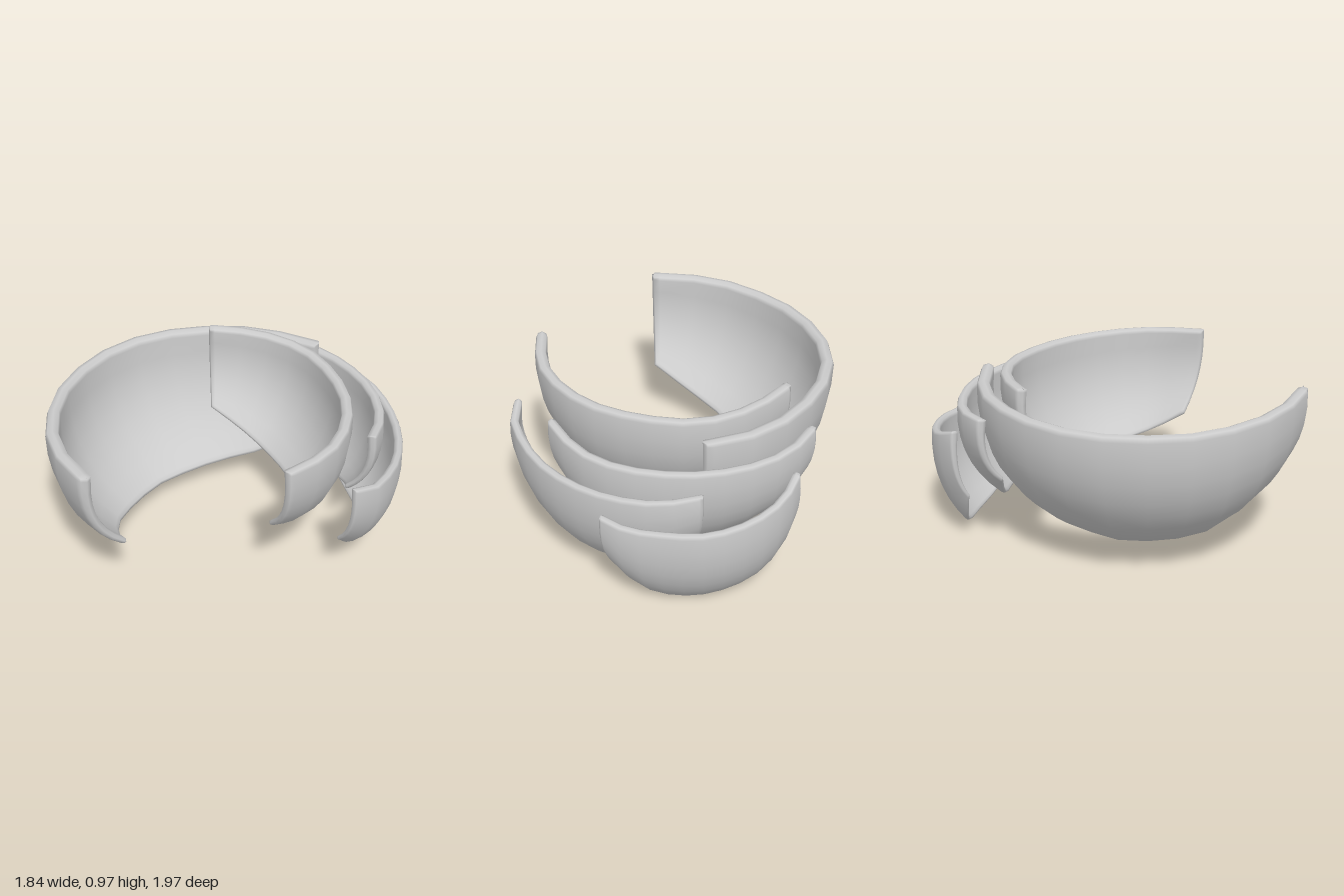
import * as THREE from 'three';
import { mergeVertices } from 'three/addons/utils/BufferGeometryUtils.js';

const curve = (pts) => new THREE.CatmullRomCurve3(pts.map((p) => new THREE.Vector3(...p)), false, 'centripetal');

// Parameter stops with two extra ones near each end, where the thickness is rounded off
function stops(segments, edge) {
  const list = [[0, 0], [edge * 0.3, 0.75], [edge, 1]];
  for (let i = 1; i < segments; i++) list.push([edge + (1 - 2 * edge) * i / segments, 1]);
  return [...list, [1 - edge, 1], [1 - edge * 0.3, 0.75], [1, 0]];
}

// Curved armour plate: a bowl-shaped strip between a top rim and a lower edge,
// both listed clockwise as seen from above
function plateGeometry(topPts, bottomPts, rim, segments) {
  const top = curve(topPts), bottom = curve(bottomPts);
  const point = (u, v) => {
    const a = top.getPointAt(u), b = bottom.getPointAt(u), t = top.getTangentAt(u);
    const c = new THREE.Vector3(a.x + t.z * 0.04, THREE.MathUtils.lerp(b.y, a.y, 0.36), a.z - t.x * 0.04);
    return new THREE.QuadraticBezierCurve3(a, c, b).getPoint(v);
  };
  const normal = (u, v) => {
    const e = 0.01, u0 = Math.max(0, u - e), u1 = Math.min(1, u + e);
    const v0 = Math.max(0, v - e), v1 = Math.min(1, v + e);
    const du = point(u1, v).sub(point(u0, v)), dv = point(u, v1).sub(point(u, v0));
    return du.cross(dv).normalize();
  };
  const us = stops(segments, 0.018), vs = stops(7, 0.035);
  const positions = [], index = [], cols = vs.length, side = us.length * cols;
  for (const s of [1, -1]) {
    for (const [u, ku] of us) for (const [v, kv] of vs) {
      // Thick at the rim, thinner toward the lower edge
      const half = rim * (1 - 0.55 * v) * Math.min(ku, kv);
      positions.push(...point(u, v).addScaledVector(normal(u, v), s * half).toArray());
    }
  }
  for (let i = 0; i < us.length - 1; i++) for (let j = 0; j < cols - 1; j++) {
    const a = i * cols + j, b = a + cols, c = a + 1, d = b + 1;
    index.push(a, b, c, b, d, c);
    index.push(a + side, c + side, b + side, b + side, c + side, d + side);
  }
  let geometry = new THREE.BufferGeometry();
  geometry.setAttribute('position', new THREE.Float32BufferAttribute(positions, 3));
  geometry.setIndex(index);
  geometry = mergeVertices(geometry, 1e-5);
  geometry.computeVertexNormals();
  return geometry;
}

export function createModel() {
  const group = new THREE.Group();
  const material = new THREE.MeshStandardMaterial({ color: 0xcccccc });
  const addPlate = (name, top, bottom, rim, segments) => {
    const mesh = new THREE.Mesh(plateGeometry(top, bottom, rim, segments), material);
    mesh.name = name;
    group.add(mesh);
  };

  // Large plate wrapping the right side from front to back
  addPlate('largeSidePlate',
    [[-0.37, 0.93, 0.96], [-0.62, 0.92, 0.79], [-0.77, 0.91, 0.6], [-0.86, 0.9, 0.37], [-0.89, 0.9, 0.18],
      [-0.83, 0.9, -0.16], [-0.65, 0.9, -0.43], [-0.3, 0.9, -0.645], [-0.01, 0.9, -0.695], [0.25, 0.91, -0.66]],
    [[-0.28, 0.41, 0.78], [-0.41, 0.28, 0.62], [-0.51, 0.19, 0.41], [-0.51, 0.16, 0.2], [-0.47, 0.15, 0],
      [-0.37, 0.16, -0.15], [-0.22, 0.18, -0.31], [0, 0.24, -0.43], [0.13, 0.32, -0.48], [0.2, 0.42, -0.52]],
    0.037, 12);

  // Inner plate, the highest, wrapping the back and left side
  addPlate('innerPlate',
    [[-0.36, 0.97, -0.5], [-0.25, 0.965, -0.54], [-0.1, 0.96, -0.57], [0.03, 0.955, -0.57], [0.2, 0.95, -0.53],
      [0.36, 0.95, -0.42], [0.5, 0.95, -0.27], [0.6, 0.95, -0.1], [0.65, 0.955, 0.1], [0.655, 0.96, 0.25],
      [0.62, 0.965, 0.4], [0.52, 0.975, 0.6]],
    [[-0.29, 0.52, -0.36], [-0.1, 0.42, -0.35], [0.04, 0.36, -0.31], [0.28, 0.33, -0.13], [0.36, 0.33, 0],
      [0.41, 0.36, 0.15], [0.42, 0.41, 0.3], [0.39, 0.51, 0.47]],
    0.032, 12);

  // Middle plate behind the inner one
  addPlate('middlePlate',
    [[-0.38, 0.82, -0.71], [-0.23, 0.81, -0.785], [-0.04, 0.8, -0.815], [0.2, 0.8, -0.78], [0.4, 0.8, -0.69],
      [0.6, 0.8, -0.52], [0.71, 0.8, -0.34], [0.76, 0.82, -0.15], [0.765, 0.84, -0.01]],
    [[-0.32, 0.46, -0.62], [-0.2, 0.34, -0.61], [-0.05, 0.26, -0.59], [0.15, 0.22, -0.55], [0.35, 0.21, -0.47],
      [0.5, 0.24, -0.36], [0.6, 0.32, -0.2], [0.63, 0.43, -0.06]],
    0.028, 11);

  // Outer plate on the left side
  addPlate('outerSidePlate',
    [[0.33, 0.71, -0.805], [0.45, 0.7, -0.765], [0.58, 0.69, -0.685], [0.74, 0.68, -0.5], [0.84, 0.68, -0.3],
      [0.89, 0.69, -0.1], [0.895, 0.71, 0.06], [0.87, 0.73, 0.23], [0.79, 0.765, 0.35]],
    [[0.28, 0.34, -0.65], [0.38, 0.2, -0.56], [0.52, 0.12, -0.43], [0.64, 0.11, -0.28], [0.71, 0.14, -0.08],
      [0.72, 0.2, 0.1], [0.7, 0.35, 0.27]],
    0.024, 11);

  // Lowest plate at the back
  addPlate('lowerBackPlate',
    [[-0.19, 0.69, -0.855], [-0.12, 0.66, -0.905], [0, 0.62, -0.95], [0.18, 0.59, -0.965], [0.38, 0.57, -0.92],
      [0.55, 0.56, -0.8], [0.69, 0.56, -0.67], [0.765, 0.575, -0.54]],
    [[-0.16, 0.3, -0.8], [-0.1, 0.17, -0.81], [0, 0.08, -0.81], [0.12, 0.03, -0.79], [0.3, 0.005, -0.74],
      [0.46, 0.02, -0.66], [0.56, 0.07, -0.59], [0.62, 0.18, -0.5]],
    0.024, 11);

  return group;
}
